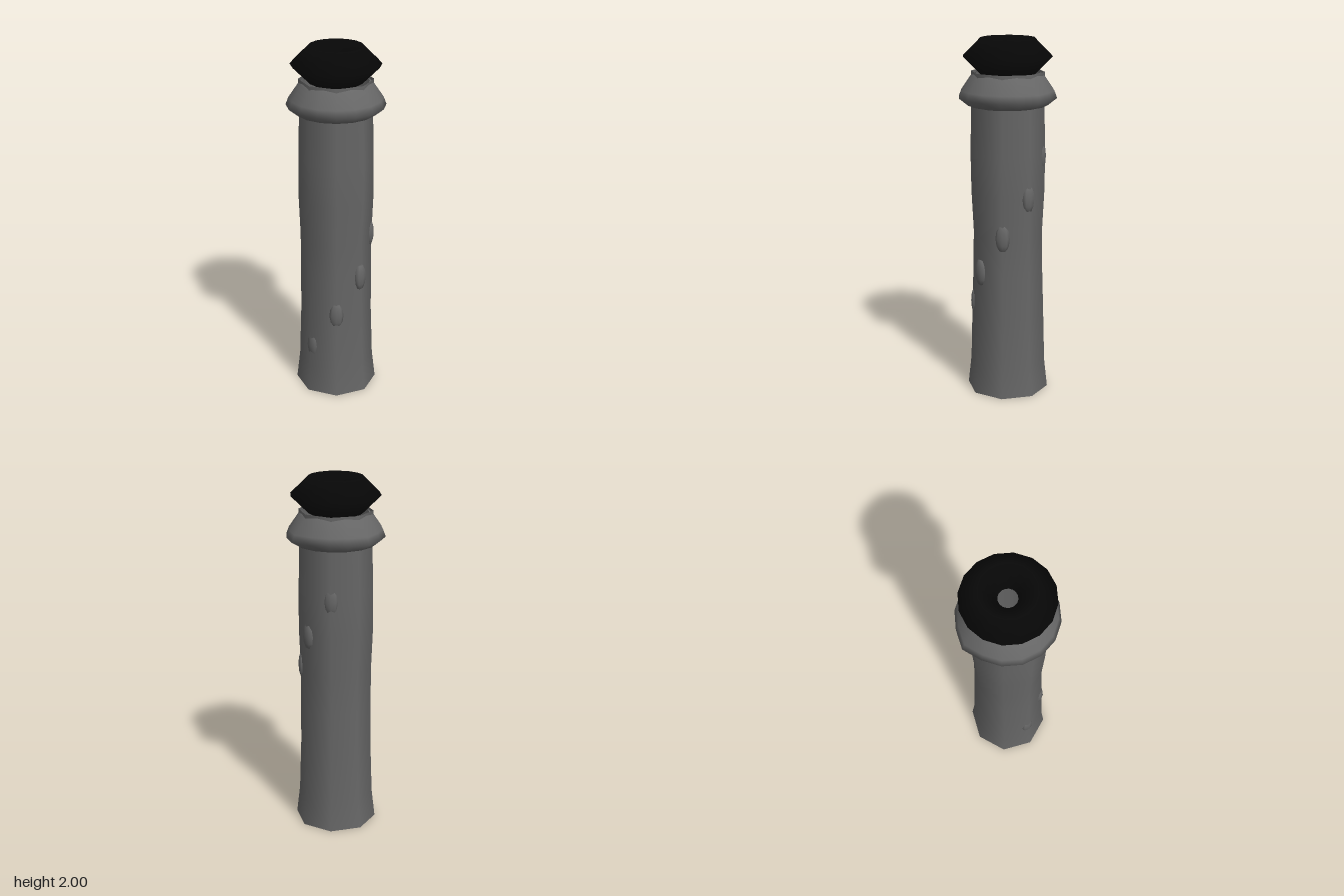
import * as THREE from 'three';

const grey = new THREE.MeshStandardMaterial({ color: 0x666666, side: THREE.DoubleSide });
const black = new THREE.MeshStandardMaterial({ color: 0x080808 });

const profile = (pairs) => pairs.map(([r, y]) => new THREE.Vector2(r, y));

// Scale each vertex outward from the y axis by a rule of its angle and height
function reshape(geometry, rule) {
  const p = geometry.attributes.position;
  for (let i = 0; i < p.count; i++) {
    const x = p.getX(i), z = p.getZ(i);
    const s = rule(Math.atan2(x, z), p.getY(i));
    p.setXYZ(i, x * s, p.getY(i), z * s);
  }
  return geometry;
}

export function createModel() {
  const model = new THREE.Group();
  const add = (name, geometry, material) => {
    const mesh = new THREE.Mesh(geometry, material);
    mesh.name = name;
    model.add(mesh);
    return mesh;
  };

  // Hollow eight-sided stalk, flared at the foot and slightly uneven
  const stalk = new THREE.LatheGeometry(profile([
    [0.23, 0], [0.212, 0.16], [0.203, 0.45], [0.198, 0.7], [0.196, 0.92],
    [0.206, 1.15], [0.207, 1.38], [0.201, 1.6], [0.202, 1.82],
  ]), 8);
  add('stalk', reshape(stalk, (a, y) => 1 + 0.015 * Math.sin(2 * a + 5 * y) * Math.sin(Math.PI * y / 1.82)), grey);

  // Sloping collar with two outer corners drawn out at the back
  const collar = new THREE.LatheGeometry(profile([
    [0.18, 1.63], [0.22, 1.64], [0.27, 1.68], [0.255, 1.72], [0.2, 1.8], [0.18, 1.81],
  ]), 16);
  add('collar', reshape(collar, (a, y) => {
    const corner = Math.abs(Math.abs(a) - Math.PI * 0.75) < 0.1;
    return corner && y > 1.66 && y < 1.75 ? 1.07 : 1;
  }), grey);

  // Dark four-sided ring resting in the collar
  const ring = new THREE.TorusGeometry(0.148, 0.097, 4, 16);
  ring.rotateX(Math.PI / 2);
  add('topRing', ring, black).position.y = 1.903;

  // Oval nodules climbing the stalk in a spiral
  const nodule = new THREE.SphereGeometry(1, 8, 6);
  for (let i = 0; i < 6; i++) {
    const a = (i - 1) * Math.PI / 4;
    const mesh = add('nodule', nodule, grey);
    mesh.scale.set(0.04, 0.08, 0.024);
    mesh.position.set(Math.sin(a) * 0.188, 0.285 + i * 0.215, Math.cos(a) * 0.188);
    mesh.rotation.y = a;
  }
  return model;
}
